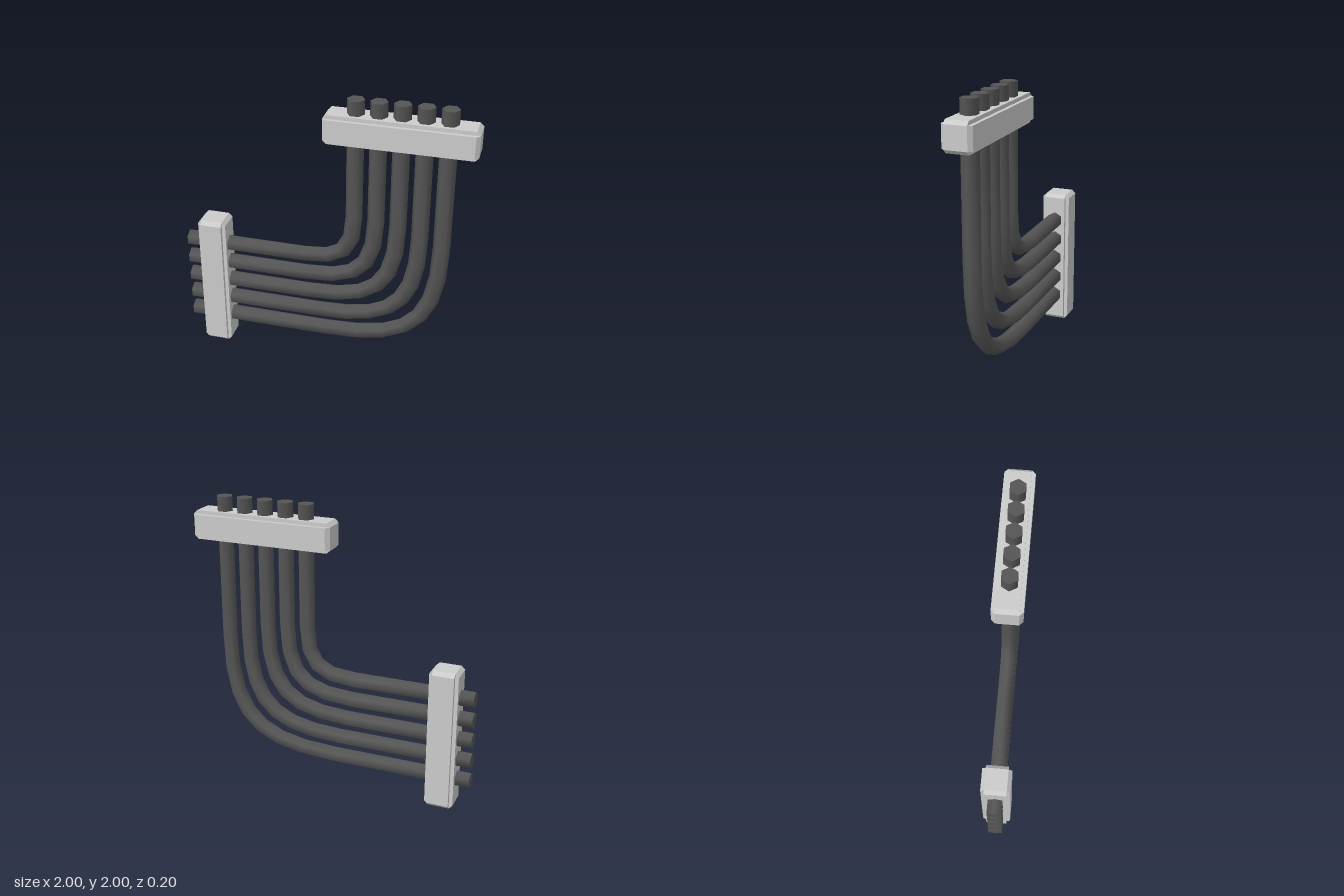
import * as THREE from 'three';

const grey = new THREE.MeshStandardMaterial({ color: 0xcccccc, flatShading: true });
const dark = new THREE.MeshStandardMaterial({ color: 0x555555 });

// Six-sided tube swept along a path in the XY plane, smooth sides and flat end caps
function sweepCable(path, radius, sides = 6) {
  const positions = [], index = [], last = path.length - 1;
  const ring = (i) => {
    const p = path[i];
    const dirIn = p.clone().sub(path[Math.max(i - 1, 0)]).normalize();
    const dirOut = path[Math.min(i + 1, last)].clone().sub(p).normalize();
    const t = dirIn.add(dirOut).normalize();
    for (let j = 0; j < sides; j++) {
      const a = (j / sides) * Math.PI * 2, n = radius * Math.cos(a);
      positions.push(p.x - t.y * n, p.y + t.x * n, radius * Math.sin(a));
    }
  };
  path.forEach((_, i) => ring(i));
  for (let i = 0; i < last; i++) {
    for (let j = 0; j < sides; j++) {
      const k = (j + 1) % sides;
      const a = i * sides + j, b = i * sides + k;
      index.push(a, b, a + sides, b, b + sides, a + sides);
    }
  }
  // end caps with their own vertices
  for (const end of [0, last]) {
    const base = positions.length / 3;
    ring(end);
    for (let j = 1; j < sides - 1; j++) {
      if (end === 0) index.push(base, base + j + 1, base + j);
      else index.push(base, base + j, base + j + 1);
    }
  }
  const geometry = new THREE.BufferGeometry();
  geometry.setAttribute('position', new THREE.Float32BufferAttribute(positions, 3));
  geometry.setIndex(index);
  geometry.computeVertexNormals();
  return geometry;
}

// Straight run, rounded corner, straight run
function cablePath(corner, bend, segments) {
  const [x, y] = corner, pull = bend * 0.23;
  const curve = new THREE.CubicBezierCurve(
    new THREE.Vector2(x - bend, y), new THREE.Vector2(x - pull, y),
    new THREE.Vector2(x, y + pull), new THREE.Vector2(x, y + bend));
  return [new THREE.Vector2(-1, y), ...curve.getPoints(segments), new THREE.Vector2(x, 2)];
}

function extrudeOutline(points, depth) {
  const shape = new THREE.Shape(points.map(([x, y]) => new THREE.Vector2(x, y)));
  const geometry = new THREE.ExtrudeGeometry(shape, { depth, bevelEnabled: false });
  return geometry.translate(0, 0, -depth / 2);
}

// Clamp bar along X: a square core with a tapered raised plate on each long side
function createClamp(name) {
  const half = 0.5, tip = 0.475, core = 0.075, outer = 0.1;
  const clamp = new THREE.Group();
  clamp.name = name;
  const body = new THREE.Mesh(extrudeOutline([
    [-half, -core], [-tip, -outer], [tip, -outer], [half, -core],
    [half, core], [tip, outer], [-tip, outer], [-half, core]], core * 2), grey);
  body.name = 'clampBody';
  clamp.add(body);
  for (const side of [1, -1]) {
    const plate = new THREE.Mesh(extrudeOutline([
      [-half, core], [half, core], [tip, outer], [-tip, outer]], core * 2), grey);
    plate.name = side > 0 ? 'frontPlate' : 'backPlate';
    plate.rotation.x = side * Math.PI / 2;
    clamp.add(plate);
  }
  return clamp;
}

export function createModel() {
  const model = new THREE.Group();
  model.name = 'cableBend';

  // five nested cables, innermost first
  const bends = [0.35, 0.49, 0.62, 0.7, 0.8];
  const segments = [4, 5, 6, 7, 7];
  bends.forEach((bend, i) => {
    const offset = 0.15 * i;
    const path = cablePath([0.2 + offset, 0.805 - offset], bend, segments[i]);
    const cable = new THREE.Mesh(sweepCable(path, 0.058), dark);
    cable.name = `cable${i + 1}`;
    model.add(cable);
  });

  // clamps holding the two ends of the bundle
  const upperClamp = createClamp('upperClamp');
  upperClamp.position.set(0.5, 1.8, 0);
  const lowerClamp = createClamp('lowerClamp');
  lowerClamp.rotation.z = Math.PI / 2;
  lowerClamp.position.set(-0.8, 0.5, 0);
  model.add(upperClamp, lowerClamp);

  return model;
}
